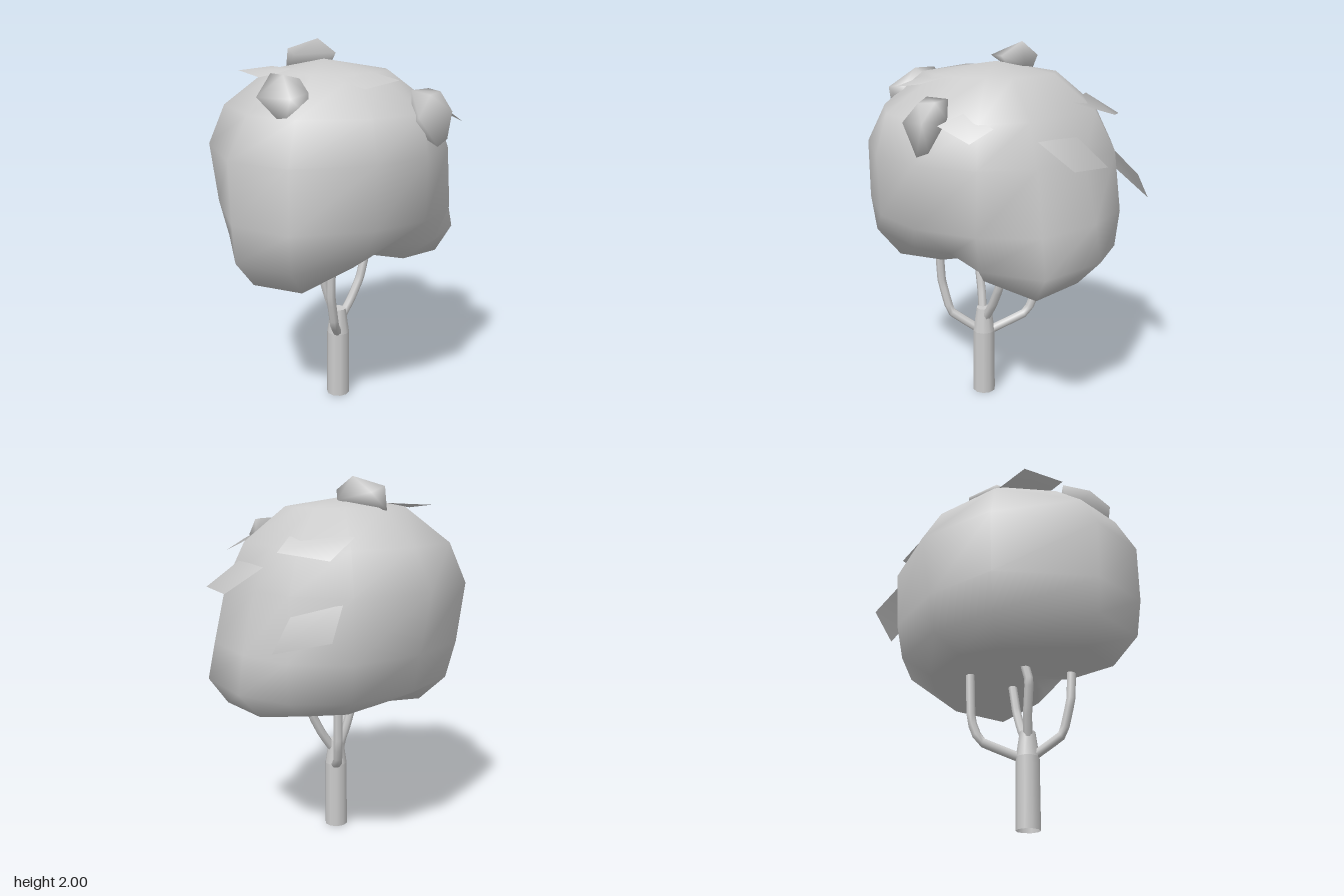
import * as THREE from 'three';
import { mergeVertices } from 'three/addons/utils/BufferGeometryUtils.js';
import { ConvexGeometry } from 'three/addons/geometries/ConvexGeometry.js';

const mat = new THREE.MeshStandardMaterial({ color: 0xcccccc });
const thin = new THREE.MeshStandardMaterial({ color: 0xcccccc, side: THREE.DoubleSide });

function add(group, name, geometry, material = mat) {
  const mesh = new THREE.Mesh(geometry, material);
  mesh.name = name;
  group.add(mesh);
  return mesh;
}

function indexed(points, index) {
  const g = new THREE.BufferGeometry();
  g.setAttribute('position', new THREE.Float32BufferAttribute(points, 3));
  g.setIndex(index);
  g.computeVertexNormals();
  return g;
}

// Crown: uneven rings, each with its own reach in eleven directions
function crownGeometry() {
  const angles = [-3, 30, 58, 90, 120, 155, 183, 229, 267, 304, 331];
  // the underside arches up between two side lobes, most of all at the front
  const arch = [0, 0, 0.03, 0.07, 0.05, 0, 0, 0.01, 0.06, 0.04, 0.03];
  const rings = [
    { y: 0.79, reach: [0.55, 0.61, 0.38, 0.14, 0.30, 0.56, 0.59, 0.46, 0.40, 0.47, 0.50] },
    { y: 0.93, reach: [0.68, 0.71, 0.54, 0.35, 0.46, 0.70, 0.70, 0.60, 0.56, 0.63, 0.67] },
    { y: 1.13, reach: [0.645, 0.67, 0.62, 0.61, 0.63, 0.73, 0.715, 0.65, 0.60, 0.67, 0.69] },
    { y: 1.45, reach: [0.565, 0.60, 0.60, 0.61, 0.64, 0.73, 0.725, 0.69, 0.665, 0.69, 0.65] },
    { y: 1.66, reach: [0.46, 0.50, 0.53, 0.57, 0.58, 0.62, 0.60, 0.60, 0.55, 0.58, 0.54] },
    { y: 1.845, reach: [0.28, 0.28, 0.28, 0.28, 0.32, 0.39, 0.39, 0.36, 0.33, 0.35, 0.32] },
  ];
  const sides = angles.length;
  const points = [];
  const index = [];
  rings.forEach(({ y, reach }, r) => {
    angles.forEach((degrees, i) => {
      const a = THREE.MathUtils.degToRad(degrees);
      points.push(reach[i] * Math.cos(a), y + (r === 0 ? arch[i] : 0), reach[i] * Math.sin(a));
    });
  });
  for (let r = 0; r < rings.length - 1; r++) {
    for (let i = 0; i < sides; i++) {
      const a = r * sides + i, b = r * sides + (i + 1) % sides;
      index.push(a, a + sides, b, b, a + sides, b + sides);
    }
  }
  const bottom = points.length / 3;
  points.push(0, 0.87, -0.03, -0.03, 1.9, -0.06);
  const last = (rings.length - 1) * sides;
  for (let i = 0; i < sides; i++) {
    const j = (i + 1) % sides;
    index.push(bottom, i, j, bottom + 1, last + j, last + i);
  }
  return indexed(points, index);
}

// Flat four-cornered leaf, shaded like the crown it lies on
function leafGeometry(corners) {
  const g = indexed(corners.flat(), [0, 2, 1, 0, 3, 2]);
  corners.forEach(([x, y, z], i) => {
    const n = new THREE.Vector3(x, y - 1.2, z).normalize();
    g.attributes.normal.setXYZ(i, n.x, n.y, n.z);
  });
  return g;
}

// Coarse lump around a few points, with smooth normals
function clumpGeometry(corners) {
  const g = new ConvexGeometry(corners.map((p) => new THREE.Vector3(...p)));
  g.deleteAttribute('normal');
  const merged = mergeVertices(g);
  merged.computeVertexNormals();
  return merged;
}

// Bent branch as a slim tube
function branchGeometry(path, radius) {
  const curve = new THREE.CatmullRomCurve3(
    path.map((p) => new THREE.Vector3(...p)), false, 'catmullrom', 0.1);
  return new THREE.TubeGeometry(curve, 12, radius, 7);
}

export function createModel() {
  const tree = new THREE.Group();
  tree.name = 'tree';

  // Trunk, with a narrowing fork on top
  const trunk = add(tree, 'trunk', new THREE.CylinderGeometry(0.063, 0.065, 0.38, 10, 1, true), thin);
  trunk.position.set(-0.033, 0.19, 0.047);
  const fork = add(tree, 'trunkFork', new THREE.CylinderGeometry(0.042, 0.063, 0.14, 10));
  fork.position.set(-0.033, 0.45, 0.047);

  // Four branches reaching up into the crown
  const branches = [
    [[-0.04, 0.37, 0.05], [-0.185, 0.49, 0.16], [-0.235, 0.68, 0.18], [-0.24, 0.89, 0.19]],
    [[-0.02, 0.37, 0.04], [0.125, 0.47, -0.15], [0.155, 0.59, -0.19], [0.165, 0.92, -0.2]],
    [[-0.03, 0.44, 0.05], [0.05, 0.56, 0.07], [0.11, 0.68, 0.085], [0.17, 0.9, 0.095]],
    [[-0.04, 0.44, 0.045], [-0.08, 0.6, 0.01], [-0.12, 0.77, -0.01], [-0.09, 0.9, -0.025]],
  ];
  branches.forEach((path, i) => add(tree, `branch${i + 1}`, branchGeometry(path, 0.025), thin));

  add(tree, 'crown', crownGeometry());

  // Loose leaves whose inner edges sink into the crown
  const leaves = [
    [[0.28, 1.72, -0.46], [0.47, 1.62, -0.50], [0.59, 1.65, -0.26], [0.42, 1.71, -0.13]],
    [[0.40, 1.44, -0.52], [0.55, 1.27, -0.61], [0.73, 1.21, -0.40], [0.52, 1.40, -0.31]],
    [[0.49, 1.57, -0.04], [0.72, 1.44, 0.00], [0.68, 1.45, 0.23], [0.47, 1.57, 0.24]],
    [[0.18, 1.70, 0.43], [0.35, 1.64, 0.42], [0.34, 1.59, 0.58], [0.17, 1.66, 0.61]],
    [[-0.04, 1.85, 0.27], [-0.07, 1.82, 0.48], [-0.28, 1.79, 0.44], [-0.28, 1.83, 0.23]],
    [[-0.43, 1.85, -0.28], [-0.20, 1.86, -0.28], [-0.27, 1.86, -0.03], [-0.49, 1.83, -0.06]],
  ];
  leaves.forEach((corners, i) => add(tree, `leaf${i + 1}`, leafGeometry(corners), thin));

  // Small foliage clumps at the front, the side and the top
  const clumps = [
    [[-0.07, 1.65, 0.60], [0, 1.77, 0.50], [0.14, 1.77, 0.50], [0.16, 1.68, 0.53], [0.13, 1.53, 0.63],
      [0.05, 1.50, 0.63], [0.12, 1.67, 0.66], [0.03, 1.75, 0.59], [0.13, 1.76, 0.58], [0, 1.58, 0.50]],
    [[-0.60, 1.75, 0.04], [-0.57, 1.62, 0.20], [-0.45, 1.66, 0.24], [-0.36, 1.80, 0.03],
      [-0.45, 1.85, -0.02], [-0.56, 1.75, 0.23], [-0.48, 1.85, 0.10], [-0.40, 1.83, 0.13],
      [-0.44, 1.77, 0.23], [-0.42, 1.69, 0.05]],
    [[-0.02, 1.83, -0.36], [0.05, 1.92, -0.32], [0.11, 1.88, -0.13], [0.03, 1.93, -0.03],
      [-0.15, 1.92, -0.16], [-0.12, 1.95, -0.24], [0.05, 2.0, -0.18], [0, 1.85, -0.15]],
  ];
  clumps.forEach((corners, i) => add(tree, `foliageClump${i + 1}`, clumpGeometry(corners)));

  return tree;
}
